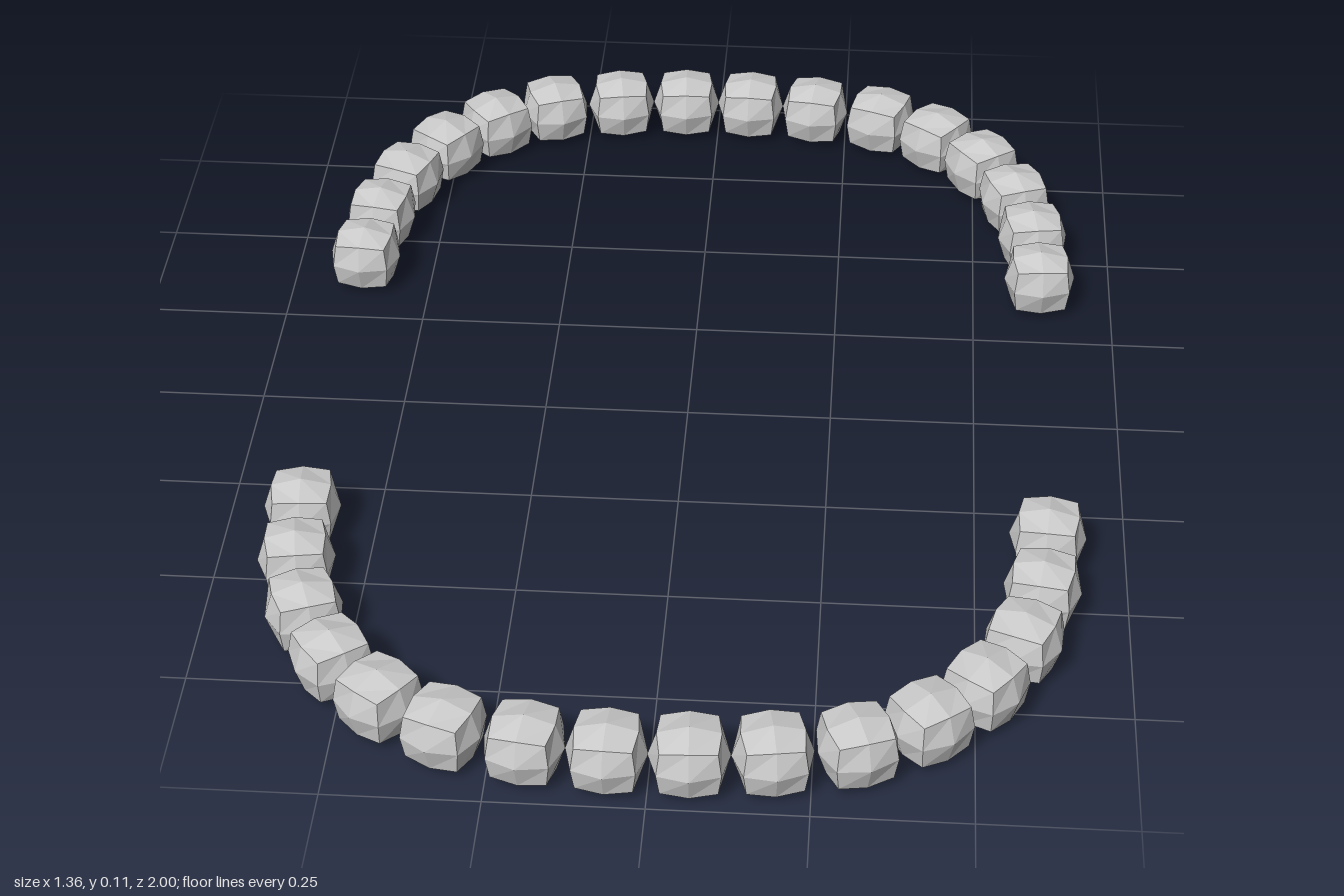
import * as THREE from 'three';

// Rounded cube bead: each face is 2 x 2, with edges and corners pulled in
function beadGeometry(radius, halfHeight) {
  const geometry = new THREE.BoxGeometry(2, 2, 2, 2, 2, 2);
  const position = geometry.attributes.position;
  const pull = [0, 1, 0.78, 0.7]; // by number of non-zero axes: face centre, edge middle, corner
  const v = new THREE.Vector3();
  for (let i = 0; i < position.count; i++) {
    v.fromBufferAttribute(position, i).round();
    const axes = Math.abs(v.x) + Math.abs(v.y) + Math.abs(v.z);
    v.multiplyScalar(pull[axes]);
    position.setXYZ(i, v.x * radius, v.y * halfHeight, v.z * radius);
  }
  geometry.computeVertexNormals();
  return geometry;
}

export function createModel() {
  const model = new THREE.Group();
  model.name = 'beadArcs';
  const radius = 0.064, halfHeight = 0.057;
  const geometry = beadGeometry(radius, halfHeight);
  const material = new THREE.MeshStandardMaterial({ color: 0xcccccc, flatShading: true });

  // Bead centres (x, z) over one quarter, from the middle of the arc to its end
  const quarter = [
    [0.063, 0.936], [0.19, 0.925], [0.318, 0.898], [0.427, 0.837],
    [0.514, 0.749], [0.575, 0.636], [0.607, 0.508], [0.618, 0.373],
  ];
  // Full arc, mirrored across x
  const arc = [...quarter.map(([x, z]) => [-x, z]).reverse(), ...quarter];

  for (const [name, side] of [['frontArc', 1], ['backArc', -1]]) {
    const group = new THREE.Group();
    group.name = name;
    arc.forEach(([x, z], i) => {
      // Turn each bead along the line between its neighbours
      const a = arc[Math.max(i - 1, 0)];
      const b = arc[Math.min(i + 1, arc.length - 1)];
      const bead = new THREE.Mesh(geometry, material);
      bead.name = 'bead';
      bead.position.set(x, halfHeight, z * side);
      bead.rotation.y = -Math.atan2((b[1] - a[1]) * side, b[0] - a[0]);
      group.add(bead);
    });
    model.add(group);
  }
  return model;
}
